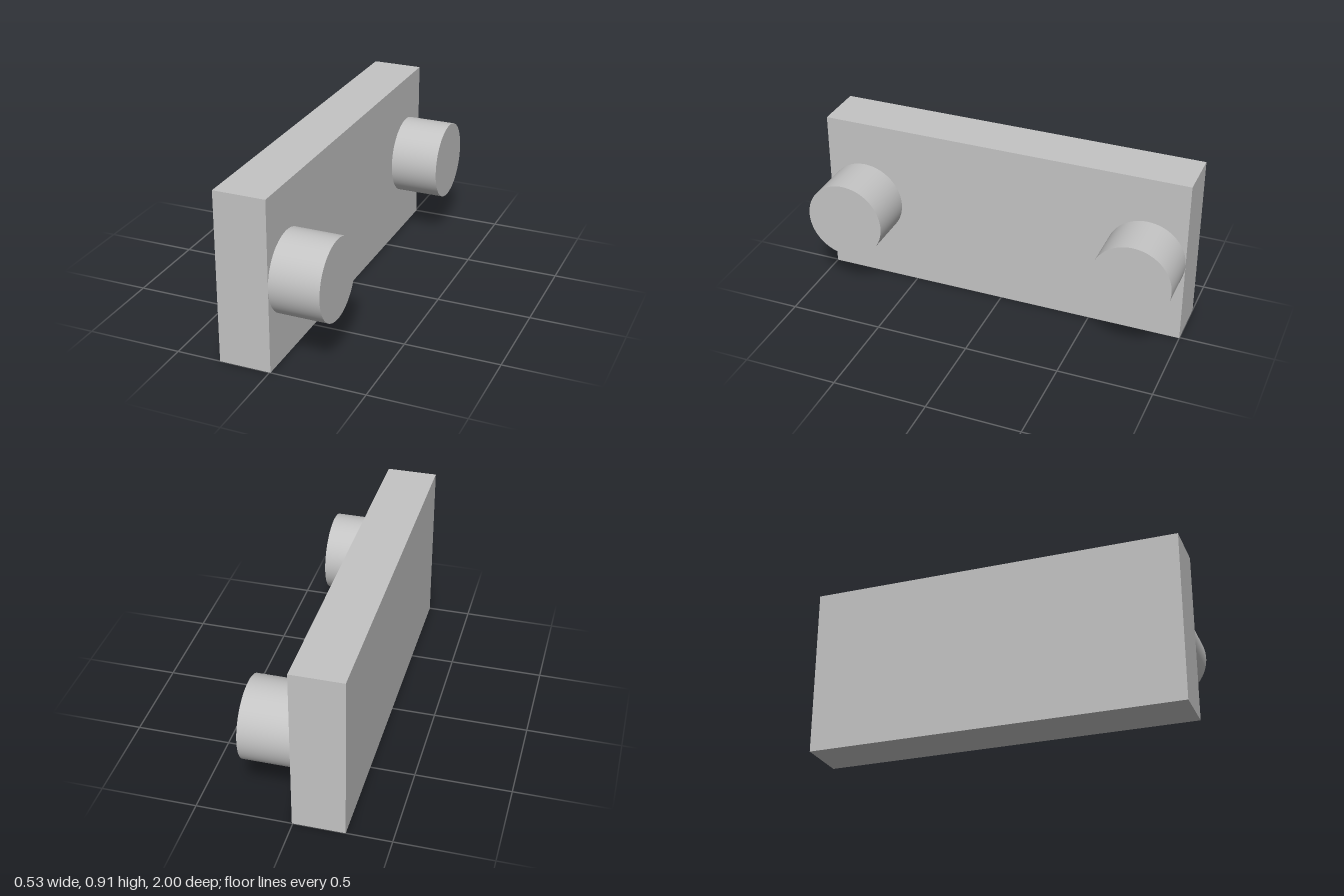
import * as THREE from 'three';

export function createModel() {
  const group = new THREE.Group();
  const grey = new THREE.MeshStandardMaterial({ color: 0xc4c4c4 });
  grey.name = 'lightGrey';

  const height = 0.91, backX = -0.267, faceX = 0.005, tipX = 0.267;

  // Upright rectangular plate
  const plate = new THREE.Mesh(new THREE.BoxGeometry(faceX - backX, height, 2), grey);
  plate.name = 'plate';
  plate.position.set((backX + faceX) / 2, height / 2, 0);
  group.add(plate);

  // Round pegs on the +x face, flush with each end of the plate
  const radius = 0.211;
  const pegGeometry = new THREE.CylinderGeometry(radius, radius, tipX - faceX, 96);
  pegGeometry.rotateZ(-Math.PI / 2);
  for (const side of [1, -1]) {
    const peg = new THREE.Mesh(pegGeometry, grey);
    peg.name = side > 0 ? 'frontPeg' : 'backPeg';
    peg.position.set((faceX + tipX) / 2, height / 2, side * (1 - radius));
    group.add(peg);
  }
  return group;
}
